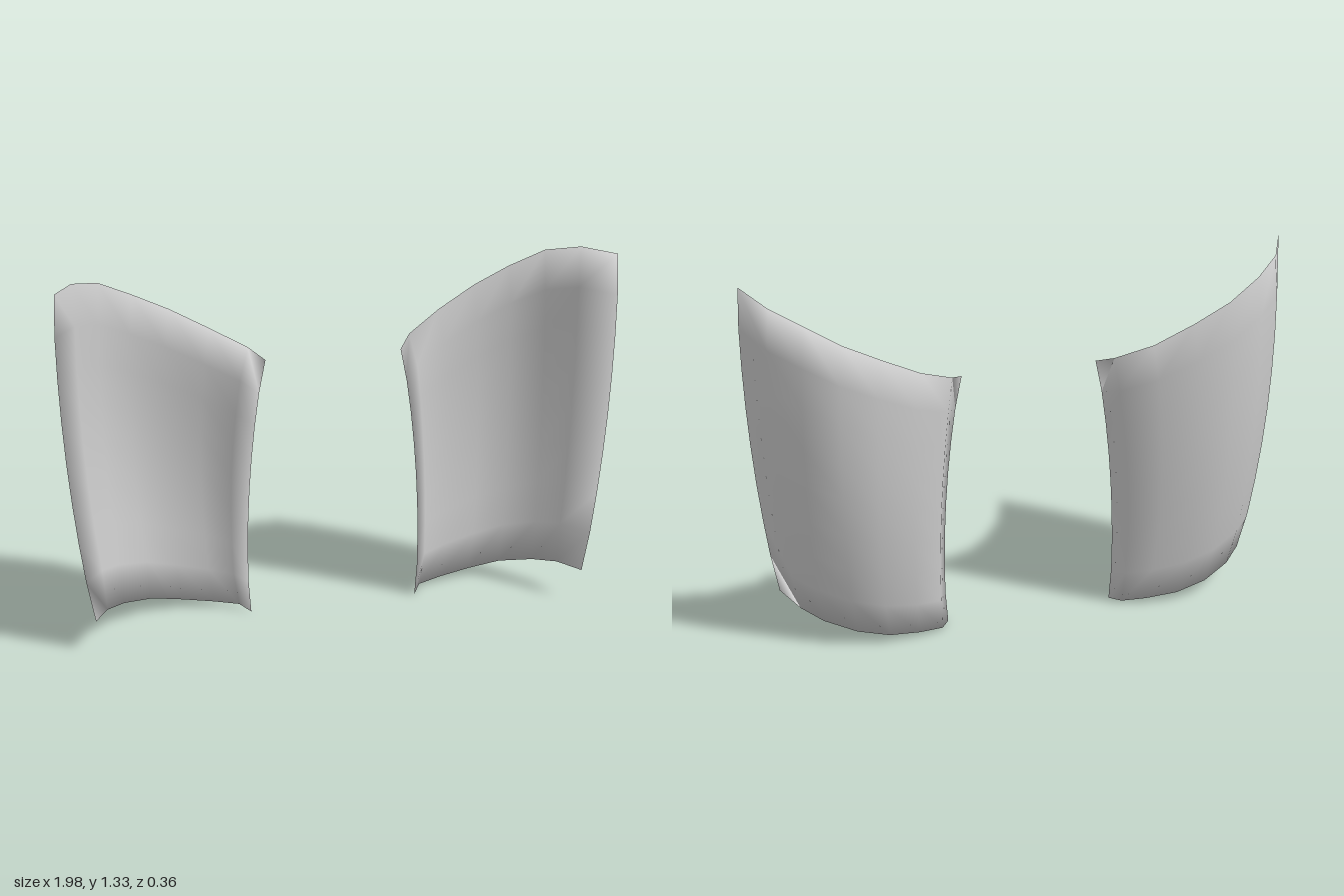
import * as THREE from 'three';

// Rim points [x, y, z] from the inner edge round the back to the outer edge
const BOTTOM = [[0.31, 0, 0], [0.345, 0.01, -0.06], [0.435, 0.02, -0.085], [0.55, 0.035, -0.1],
  [0.665, 0.06, -0.085], [0.775, 0.085, -0.02], [0.845, 0.105, 0.06], [0.9, 0.12, 0.18]];
const TOP = [[0.245, 0.98, 0], [0.295, 1.01, -0.07], [0.42, 1.07, -0.135], [0.56, 1.145, -0.16],
  [0.69, 1.21, -0.155], [0.81, 1.275, -0.11], [0.91, 1.31, -0.01], [0.985, 1.33, 0.16]];
const COLS = BOTTOM.length - 1;
const ROWS = 8;

// Point on the curved plate: straight between the rims, plus a bulge at mid height
function platePoint(i, j, depth) {
  const v = j / ROWS;
  const arch = Math.sin(Math.PI * v);
  const across = Math.sqrt(Math.max(0, Math.sin(Math.PI * i / COLS)));
  const p = new THREE.Vector3(...BOTTOM[i]).lerp(new THREE.Vector3(...TOP[i]), v);
  p.x += 0.032 * Math.pow(Math.max(0, arch), 0.7);
  p.z += across * (depth - 0.04 * arch);
  return p;
}

// Closed thin shell whose two skins meet in a sharp rim; shared vertices keep it smooth
function shellGeometry(side, depth) {
  const positions = [];
  const index = [];
  const skins = [[], []];
  const add = (p) => positions.push(side * p.x, p.y, p.z) / 3 - 1;

  for (let j = 0; j <= ROWS; j++) {
    for (let i = 0; i <= COLS; i++) {
      const k = j * (COLS + 1) + i;
      const p = platePoint(i, j, depth);
      if (i === 0 || j === 0 || i === COLS || j === ROWS) {
        skins[0][k] = skins[1][k] = add(p);
        continue;
      }
      const t = platePoint(i + 1, j, depth).sub(platePoint(i - 1, j, depth));
      const outward = new THREE.Vector3(t.z, 0, -t.x).normalize();
      skins[0][k] = add(p.clone().addScaledVector(outward, 0.005));
      skins[1][k] = add(p.clone().addScaledVector(outward, -0.015));
    }
  }

  skins.forEach((skin, s) => {
    const flip = (s === 0) === (side > 0);
    for (let j = 0; j < ROWS; j++) {
      for (let i = 0; i < COLS; i++) {
        const k = j * (COLS + 1) + i;
        const a = skin[k], b = skin[k + 1], c = skin[k + COLS + 2], d = skin[k + COLS + 1];
        if (flip) index.push(a, c, b, a, d, c);
        else index.push(a, b, c, a, c, d);
      }
    }
  });

  const geometry = new THREE.BufferGeometry();
  geometry.setAttribute('position', new THREE.Float32BufferAttribute(positions, 3));
  geometry.setIndex(index);
  geometry.computeVertexNormals();
  return geometry;
}

export function createModel() {
  const group = new THREE.Group();
  group.name = 'guardPair';
  const material = new THREE.MeshStandardMaterial({ color: 0xcccccc, side: THREE.DoubleSide });

  // Mirrored pair; the right plate is slightly shallower
  for (const [name, side, depth] of [['leftGuard', 1, 0], ['rightGuard', -1, 0.013]]) {
    const guard = new THREE.Mesh(shellGeometry(side, depth), material);
    guard.name = name;
    group.add(guard);
  }
  return group;
}
